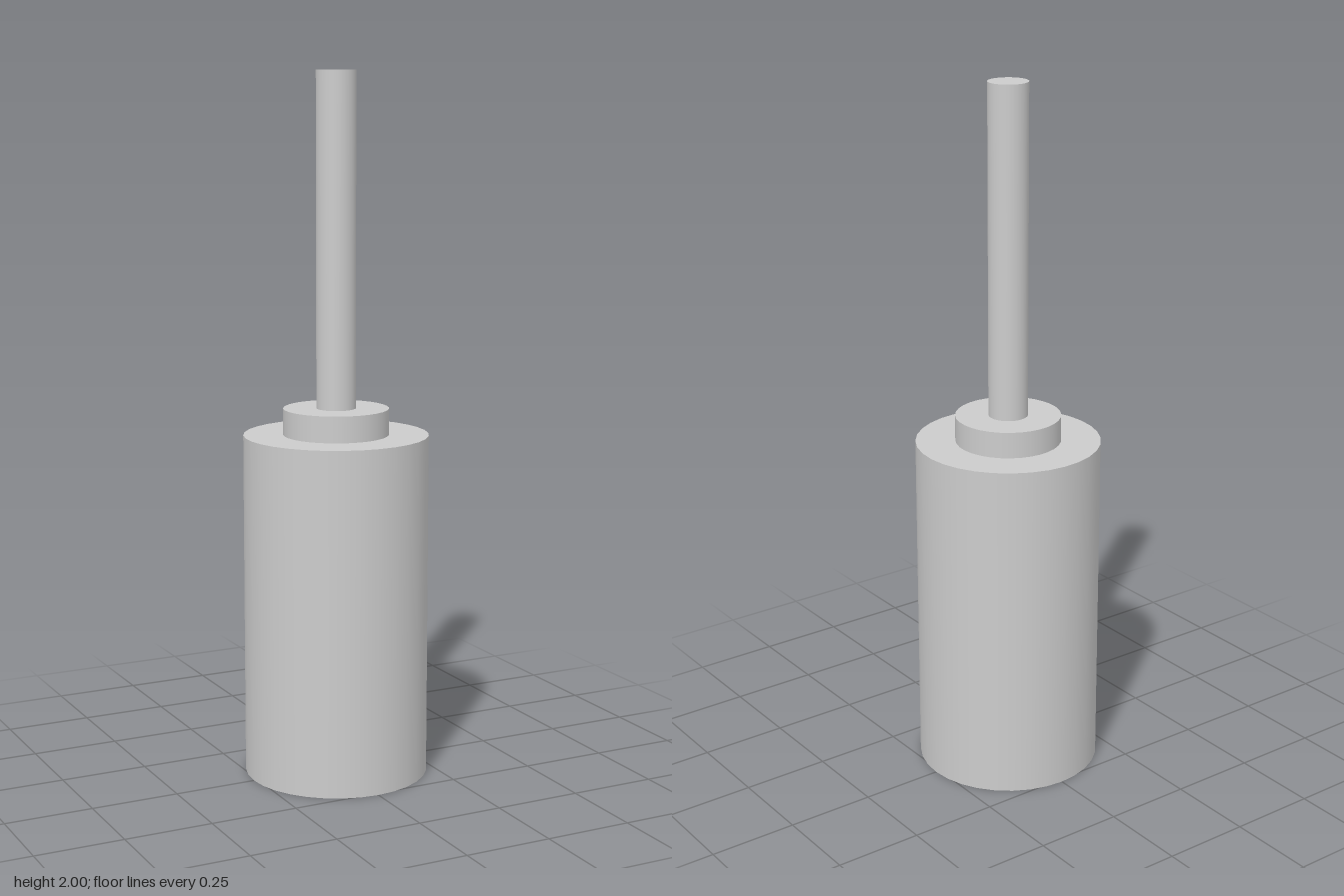
import * as THREE from 'three';

const material = new THREE.MeshStandardMaterial({ color: 0xcccccc });

// Upright cylinder spanning two heights
function cylinder(name, radius, bottom, top) {
  const geometry = new THREE.CylinderGeometry(radius, radius, top - bottom, 32);
  const mesh = new THREE.Mesh(geometry, material);
  mesh.name = name;
  mesh.position.y = (bottom + top) / 2;
  return mesh;
}

export function createModel() {
  const model = new THREE.Group();
  model.name = 'motor';
  model.add(
    cylinder('body', 0.263, 0, 0.985),
    cylinder('collar', 0.15, 0.985, 1.06),
    cylinder('shaft', 0.056, 1.06, 2),
  );
  return model;
}
